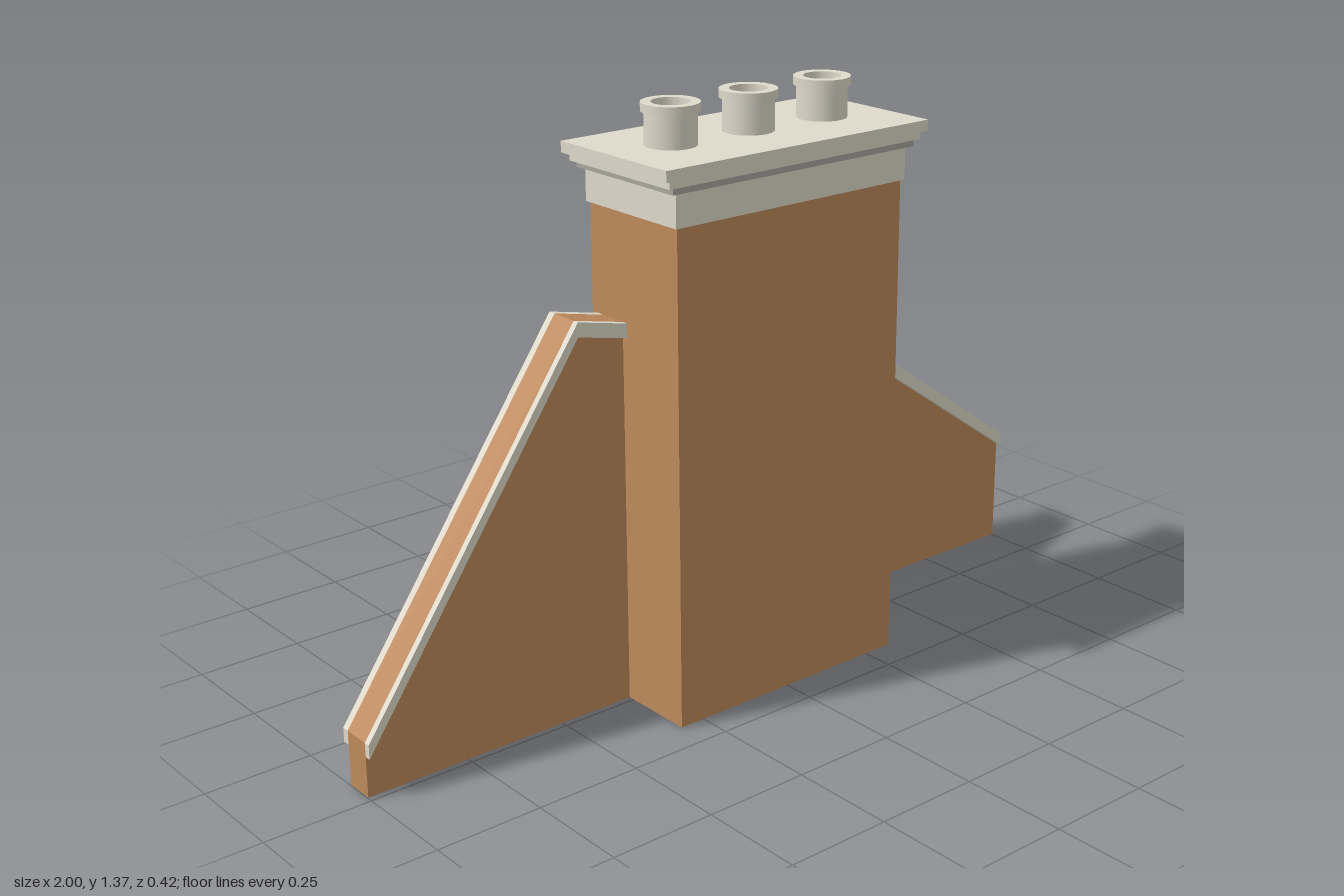
import * as THREE from 'three';

export function createModel() {
  const model = new THREE.Group();
  model.name = 'chimney';
  const mat = (name, color) => {
    const m = new THREE.MeshStandardMaterial({ color });
    m.name = name;
    return m;
  };
  const brick = mat('brick', 0xbe895b);
  const stone = mat('stone', 0xded9ca);
  const shade = mat('shadedStone', 0xa9a69c);
  const footing = mat('footing', 0xcdb08a);

  const add = (parent, name, geometry, material) => {
    const mesh = new THREE.Mesh(geometry, material);
    mesh.name = name;
    parent.add(mesh);
    return mesh;
  };
  const cx = 0.004, cz = 0.029; // centre line of the stack
  const floor = 0.002;          // brickwork starts just above its underside

  // box given by half width, bottom, top and half depth, centred on the stack
  const block = (name, hx, y0, y1, hz, material) =>
    add(model, name, new THREE.BoxGeometry(2 * hx, y1 - y0, 2 * hz), material)
      .position.set(cx, (y0 + y1) / 2, cz);

  // downward face closing the bottom of a part
  const underside = (parent, x0, x1, z0, z1) => {
    const plate = add(parent, 'underside', new THREE.PlaneGeometry(x1 - x0, z1 - z0), footing);
    plate.rotation.x = Math.PI / 2;
    plate.position.set((x0 + x1) / 2, 0, (z0 + z1) / 2);
  };

  // outline in x/y extruded from z0 to z1
  const slab = (parent, name, points, z0, z1, material) => {
    const shape = new THREE.Shape(points.map(([x, y]) => new THREE.Vector2(x, y)));
    const geometry = new THREE.ExtrudeGeometry(shape, { depth: z1 - z0, bevelEnabled: false });
    geometry.translate(0, 0, z0);
    add(parent, name, geometry, material);
  };

  // stack and stepped cap
  block('stack', 0.318, floor, 1.142, 0.147, brick);
  underside(model, cx - 0.318, cx + 0.318, cz - 0.147, cz + 0.147);
  block('frieze', 0.325, 1.142, 1.217, 0.153, stone);
  block('lowerMoulding', 0.34, 1.217, 1.232, 0.163, shade);
  block('upperMoulding', 0.354, 1.232, 1.25, 0.169, stone);
  block('capSlab', 0.369, 1.25, 1.275, 0.178, stone);

  // hollow chimney pots with a projecting rim
  const potProfile = [
    [0.057, 1.27], [0.057, 1.348], [0.064, 1.348], [0.064, 1.367],
    [0.042, 1.367], [0.042, 1.335],
  ].map(([r, y]) => new THREE.Vector2(r, y));
  for (const x of [-0.214, 0, 0.214]) {
    const pot = new THREE.Group();
    pot.name = 'chimneyPot';
    pot.position.set(cx + x, 0, cz);
    model.add(pot);
    // one lathe per profile segment keeps the edges sharp
    for (let i = 0; i + 1 < potProfile.length; i++) {
      add(pot, i < 2 ? 'potBody' : 'potRim',
        new THREE.LatheGeometry(potProfile.slice(i, i + 2), 32), stone);
    }
    const flue = add(pot, 'flue', new THREE.CircleGeometry(0.042, 32), shade);
    flue.rotation.x = -Math.PI / 2;
    flue.position.y = 1.336;
  }

  // sloping walls, edged on both faces by stone coping strips
  const wall = (name, top, z0, z1) => {
    const group = new THREE.Group();
    group.name = name;
    model.add(group);
    const x0 = top[0][0], x1 = top[top.length - 1][0];
    const crest = [...top].reverse();
    slab(group, 'wallPanel', [[x0, floor], [x1, floor], ...crest], z0, z1, brick);
    underside(group, x0, x1, z0, z1);
    const strip = [...top.map(([x, y]) => [x, y - 0.033]), ...crest];
    slab(group, 'copingFront', strip, z1, z1 + 0.015, stone);
    slab(group, 'copingBack', strip, z0 - 0.018, z0, stone);
  };
  wall('rightWall', [[-1, 0.13], [-0.443, 0.926], [-0.314, 0.897]], -0.08, -0.012);
  wall('leftWall', [[0.322, 0.77], [1, 0.295]], -0.19, -0.12);

  return model;
}
